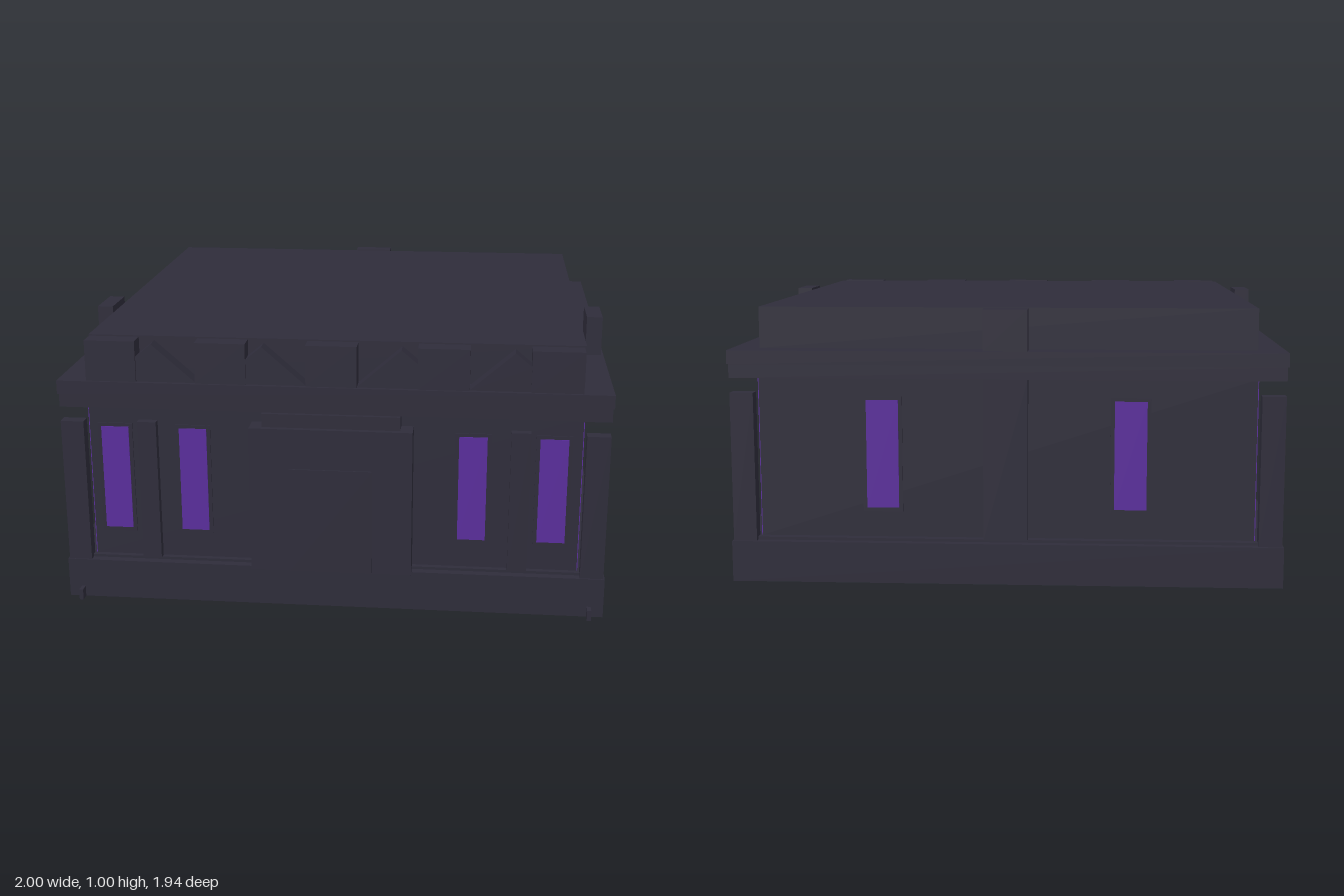
import * as THREE from 'three';

export function createModel() {
  const model = new THREE.Group();
  const stone = new THREE.MeshStandardMaterial({ name: 'dark stone', color: 0x2e2c3a });
  const glass = new THREE.MeshStandardMaterial({ name: 'purple glass', color: 0x5a2d9c });

  // Box given by its limits on each axis
  function block(name, x0, x1, y0, y1, z0, z1, material = stone, parent = model) {
    const mesh = new THREE.Mesh(new THREE.BoxGeometry(x1 - x0, y1 - y0, z1 - z0), material);
    mesh.position.set((x0 + x1) / 2, (y0 + y1) / 2, (z0 + z1) / 2);
    mesh.name = name;
    parent.add(mesh);
    return mesh;
  }

  // Main masses
  block('base', -1, 1, 0, 0.15, -0.97, 0.93);
  block('baseTrim', -0.96, 0.96, 0.15, 0.16, -0.94, 0.9);
  block('walls', -0.9, 0.9, 0.16, 0.75, -0.91, 0.88);
  block('corniceLower', -0.995, 0.995, 0.75, 0.8, -0.965, 0.925);
  block('corniceUpper', -1, 1, 0.8, 0.85, -0.97, 0.93);
  block('roof', -0.9, 0.9, 0.85, 1, -0.88, 0.83);

  // Framed window, placed on a wall and turned to face outward
  function addWindow(x, z, turn, width) {
    const w = new THREE.Group();
    w.name = 'window';
    const inner = width / 2 - 0.014;
    block('windowFrame', -width / 2, width / 2, 0.255, 0.68, -0.002, 0.005, stone, w);
    block('windowPane', -inner, inner, 0.27, 0.667, 0.004, 0.008, glass, w);
    w.position.set(x, 0, z);
    w.rotation.y = turn;
    model.add(w);
  }
  for (const x of [-0.805, -0.515, 0.51, 0.8]) addWindow(x, 0.88, 0, 0.13);
  for (const x of [-0.45, 0.45]) addWindow(x, -0.91, Math.PI, 0.145);
  for (const z of [0.435, -0.02, -0.47]) {
    addWindow(0.9, z, Math.PI / 2, 0.145);
    addWindow(-0.9, z, -Math.PI / 2, 0.145);
  }

  // Parts repeated on both sides
  for (const s of [-1, 1]) {
    const mirrored = (name, a, b, ...rest) =>
      block(name, Math.min(s * a, s * b), Math.max(s * a, s * b), ...rest);
    mirrored('frontColumn', 0.91, 0.995, 0.15, 0.695, 0.88, 0.925);
    mirrored('backColumn', 0.91, 0.995, 0.15, 0.695, -0.96, -0.91);
    mirrored('frontCornerStrip', 0.898, 0.903, 0.16, 0.75, 0.84, 0.879, glass);
    mirrored('backCornerStrip', 0.898, 0.903, 0.16, 0.75, -0.909, -0.87, glass);
    mirrored('frontPilaster', 0.645, 0.715, 0.16, 0.695, 0.88, 0.91);
    mirrored('sideMerlon', 0.93, 0.99, 0.85, 1, 0.21, 0.39);
    mirrored('footSpur', 0.94, 0.955, 0, 0.04, 0.93, 0.965);
  }

  // Back pilaster and merlon
  block('backPilaster', -0.08, 0.08, 0.16, 0.75, -0.955, -0.91);
  block('backMerlon', -0.08, 0.08, 0.85, 1, -0.965, -0.905);

  // Entrance
  block('entranceLintel', -0.25, 0.25, 0.7, 0.75, 0.88, 0.94);
  block('entranceSurround', -0.295, 0.295, 0.15, 0.7, 0.88, 0.96);
  block('door', -0.15, 0.15, 0.155, 0.55, 0.96, 0.966);

  // Front parapet: square merlons with slanted wedges between them
  for (const x of [-0.8, -0.4, 0, 0.4, 0.8]) {
    block('frontMerlon', x - 0.092, x + 0.092, 0.85, 1, 0.85, 0.92);
  }
  const wedge = new THREE.Shape([
    [-0.71, 0.85], [-0.49, 0.85], [-0.65, 0.99], [-0.71, 0.94],
  ].map(([x, y]) => new THREE.Vector2(x, y)));
  const mirroredWedge = new THREE.Shape([
    [0.49, 0.85], [0.71, 0.85], [0.71, 0.94], [0.65, 0.99],
  ].map(([x, y]) => new THREE.Vector2(x, y)));
  for (const [shape, x] of [[wedge, 0], [wedge, 0.4], [mirroredWedge, -0.4], [mirroredWedge, 0]]) {
    const mesh = new THREE.Mesh(
      new THREE.ExtrudeGeometry(shape, { depth: 0.06, bevelEnabled: false }), stone);
    mesh.position.set(x, 0, 0.853);
    mesh.name = 'parapetWedge';
    model.add(mesh);
  }
  return model;
}
